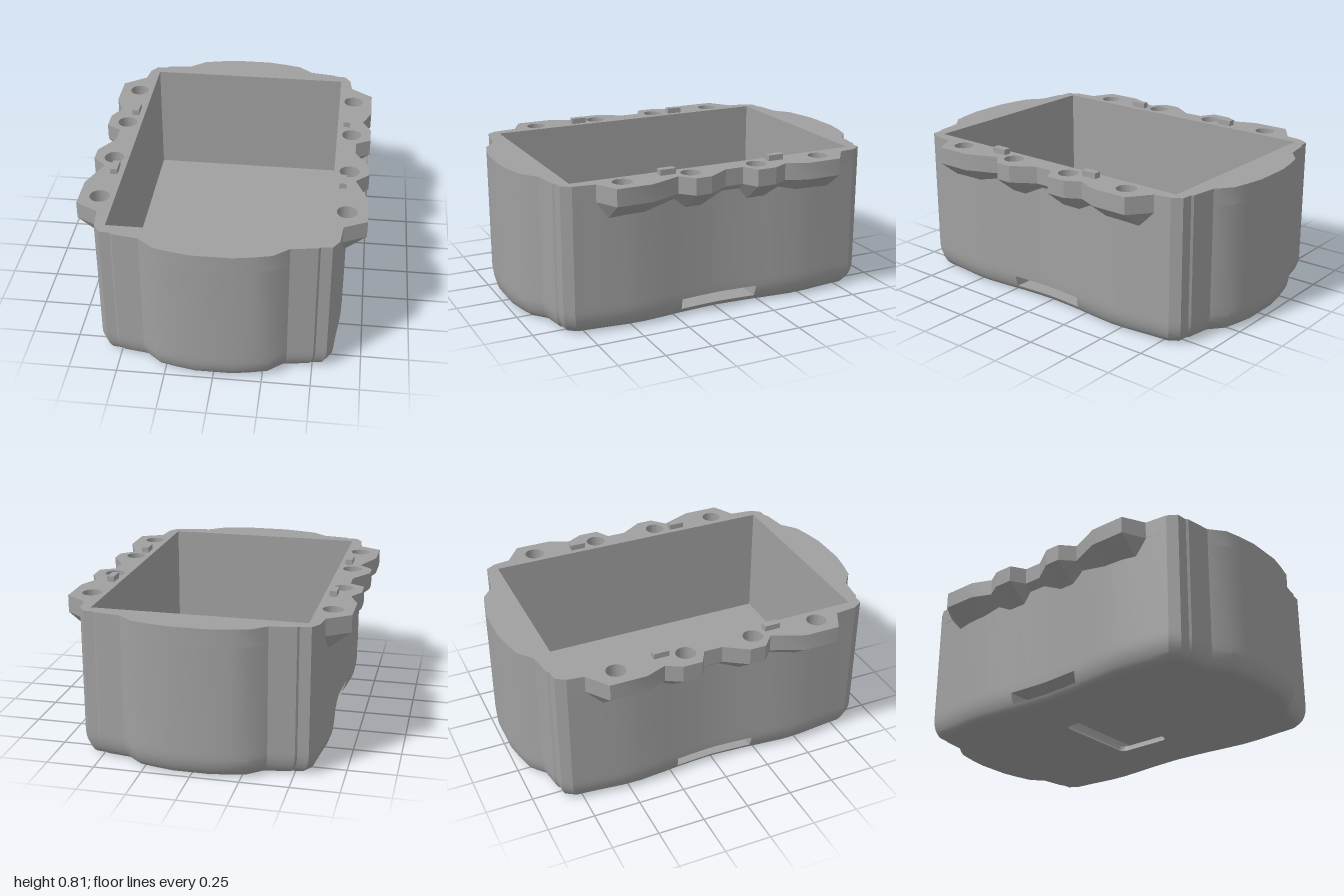
import * as THREE from 'three';
import { mergeGeometries, toCreasedNormals } from 'three/addons/utils/BufferGeometryUtils.js';

// Plan outlines are [x, z] points for the +x half, running from front to back
const END = [[0.1, 1], [0.2, 0.982], [0.29, 0.96], [0.37, 0.895], [0.505, 0.875], [0.515, 0.865], [0.572, 0.86], [0.605, 0.81]];
const SIDE = [[0.615, 0.7], [0.632, 0.55], [0.635, 0.45], [0.622, 0.3], [0.613, 0.22], [0.605, 0.1]];
const TABS = [
  [0.617, 0.69], [0.735, 0.63], [0.735, 0.44], [0.665, 0.27], [0.735, 0.205], [0.735, 0.12], [0.657, 0],
  [0.657, -0.1], [0.735, -0.145], [0.735, -0.25], [0.69, -0.33], [0.735, -0.44], [0.735, -0.635], [0.617, -0.72],
];
const CAVITY = { x: 0.55, z: 0.803 };
const FLOOR = 0.145, RIM = 0.69, TOP = 0.78;

const flipZ = (pts) => pts.map(([x, z]) => [x, -z]).reverse();
const bothSides = (half) => [...half, ...half.map(([x, z]) => [-x, z]).reverse()];
const toShape = (pts) => new THREE.Shape(pts.map(([x, z]) => new THREE.Vector2(x, -z)));

const quarter = [...END, ...SIDE];
const bodyOutline = bothSides([...quarter, [0.6, 0], ...flipZ(quarter)]);
const rimOutline = bothSides([...END, ...TABS, ...flipZ(END)]);

// Horizontal slab between two heights
function slab(shape, y0, y1, steps = 1) {
  const g = new THREE.ExtrudeGeometry(shape, { depth: y1 - y0, steps, bevelEnabled: false, curveSegments: 20 });
  g.rotateX(-Math.PI / 2);
  g.translate(0, y0, 0);
  return g;
}

// Move every vertex by a rule
function reshape(g, rule) {
  const p = g.attributes.position;
  const v = new THREE.Vector3();
  for (let i = 0; i < p.count; i++) {
    rule(v.fromBufferAttribute(p, i));
    p.setXYZ(i, v.x, v.y, v.z);
  }
  return g;
}

// Quarter-round inset around the foot of the body
function roundFoot(v) {
  const t = Math.max(0, 1 - v.y / 0.12);
  const inset = 0.06 * (1 - Math.sqrt(Math.max(0, 1 - t * t)));
  v.x *= 1 - inset / 0.64;
  v.z *= 1 - inset;
}

function rectPath(x, z) {
  return new THREE.Path([[-x, -z], [x, -z], [x, z], [-x, z]].map(([a, b]) => new THREE.Vector2(a, b)));
}

function roundedRectPath(x, z, r) {
  const p = new THREE.Path();
  p.absarc(x - r, z - r, r, 0, Math.PI / 2);
  p.absarc(r - x, z - r, r, Math.PI / 2, Math.PI);
  p.absarc(r - x, r - z, r, Math.PI, Math.PI * 1.5);
  p.absarc(x - r, r - z, r, Math.PI * 1.5, Math.PI * 2);
  p.closePath();
  return p;
}

export function createModel() {
  const group = new THREE.Group();
  const grey = new THREE.MeshStandardMaterial({ color: 0xa0a0a0 });
  grey.name = 'plain grey';
  const add = (name, geometry, parent = group) => {
    const mesh = new THREE.Mesh(geometry, grey);
    mesh.name = name;
    parent.add(mesh);
    return mesh;
  };

  // Base plate with an opening into the cross slot
  const base = toShape(bodyOutline);
  base.holes.push(roundedRectPath(0.27, 0.17, 0.04));

  // Slot layer is split in two, leaving a passage from side to side
  const slotHalf = (s) => toShape(bodyOutline.filter(([, z]) => z * s >= 0.22));

  const walls = toShape(bodyOutline);
  walls.holes.push(rectPath(CAVITY.x, CAVITY.z));

  const bodyParts = [
    slab(base, 0, 0.035, 4),
    slab(slotHalf(1), 0.035, 0.095, 3),
    slab(slotHalf(-1), 0.035, 0.095, 3),
    slab(toShape(bodyOutline), 0.095, FLOOR, 2),
    slab(walls, FLOOR, RIM),
  ].map((g) => reshape(g, roundFoot));
  add('body', toCreasedNormals(mergeGeometries(bodyParts), 0.45));

  // Rim with lobed side tabs and round sockets
  const rim = toShape(rimOutline);
  rim.holes.push(rectPath(CAVITY.x, CAVITY.z));
  for (const x of [-0.63, 0.63]) {
    for (const z of [-0.563, -0.19, 0.185, 0.557]) {
      const socket = new THREE.Path();
      socket.absarc(x, -z, 0.052, 0, Math.PI * 2);
      rim.holes.push(socket);
    }
  }
  add('rim', toCreasedNormals(slab(rim, RIM, TOP), 0.45));

  // Sloped undersides below the tabs, and locating pegs on the rim
  for (const side of [1, -1]) {
    const plan = [[0.57, 0.69], ...TABS, [0.57, -0.72]].map(([x, z]) => [x * side, z]);
    const support = reshape(slab(toShape(plan), 0.6, RIM), (v) => {
      if (v.y > 0.65) return;
      const reach = Math.max(0, Math.abs(v.x) - 0.617);
      v.y = RIM - 0.003 - reach * 0.76;
      v.x = side * Math.min(Math.abs(v.x), 0.617);
    });
    support.computeVertexNormals();
    add(side > 0 ? 'leftTabSupport' : 'rightTabSupport', support);

    for (const z of [-0.315, 0.305]) {
      const peg = add('rimPeg', new THREE.BoxGeometry(0.038, 0.05, 0.085));
      peg.position.set(side * 0.6, 0.785, z);
    }
  }
  return group;
}
